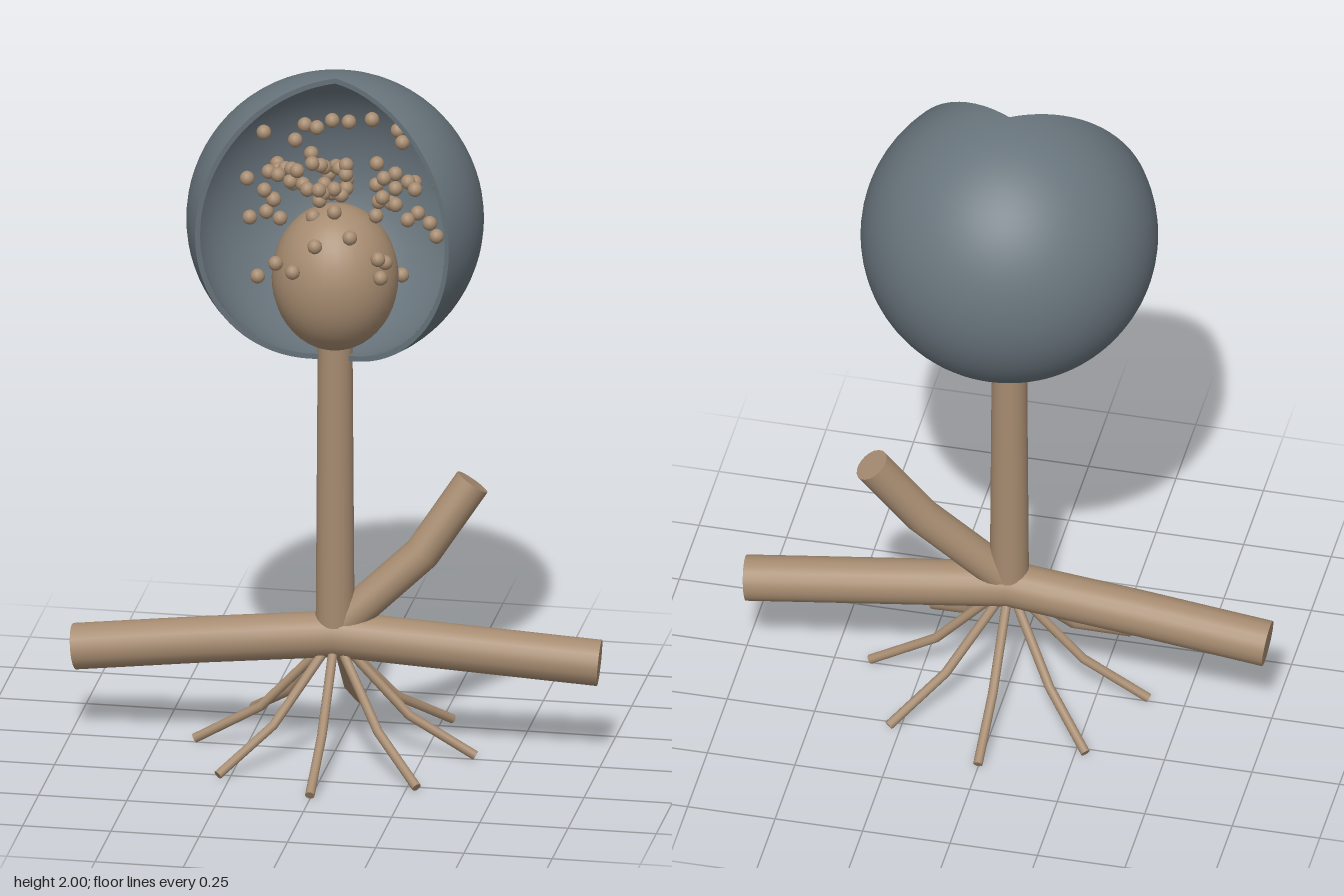
import * as THREE from 'three';

const V = (x, y, z) => new THREE.Vector3(x, y, z);

// Capped round limb following a short list of points
function limbGeometry(points, radius, sides) {
  const n = points.length - 1;
  const geo = new THREE.CylinderGeometry(radius, radius, 1, sides, n);
  const turns = points.map((p, i) => {
    const t = V(0, 0, 0);
    if (i > 0) t.add(p.clone().sub(points[i - 1]).normalize());
    if (i < n) t.add(points[i + 1].clone().sub(p).normalize());
    return new THREE.Quaternion().setFromUnitVectors(V(0, 1, 0), t.normalize());
  });
  const pos = geo.attributes.position;
  const normal = geo.attributes.normal;
  const v = V(0, 0, 0);
  for (let k = 0; k < pos.count; k++) {
    v.fromBufferAttribute(pos, k);
    const i = Math.round((v.y + 0.5) * n);
    v.setY(0).applyQuaternion(turns[i]).add(points[i]);
    pos.setXYZ(k, v.x, v.y, v.z);
    v.fromBufferAttribute(normal, k).applyQuaternion(turns[i]);
    normal.setXYZ(k, v.x, v.y, v.z);
  }
  return geo;
}

export function createModel() {
  const root = new THREE.Group();
  const tan = new THREE.MeshStandardMaterial({ color: 0xa68b70 });
  tan.name = 'tan';
  const slate = new THREE.MeshStandardMaterial({ color: 0x68747c, side: THREE.DoubleSide });
  slate.name = 'slate grey';

  const add = (parent, name, geo, mat, x = 0, y = 0, z = 0) => {
    const mesh = new THREE.Mesh(geo, mat);
    mesh.name = name;
    mesh.position.set(x, y, z);
    parent.add(mesh);
    return mesh;
  };
  const group = (name) => {
    const g = new THREE.Group();
    g.name = name;
    root.add(g);
    return g;
  };

  // Spore case: hollow sphere with a 120 degree wedge cut away at the front
  const sporeCase = group('sporeCase');
  sporeCase.position.y = 1.585;
  const outer = 0.415, inner = 0.4, deg = Math.PI / 180;
  for (const [name, r] of [['outerWall', outer], ['innerWall', inner]]) {
    add(sporeCase, name, new THREE.SphereGeometry(r, 48, 40, 150 * deg, 240 * deg), slate);
  }
  for (const angle of [-30, -150]) {
    add(sporeCase, 'cutRim', new THREE.RingGeometry(inner, outer, 48, 1, -90 * deg, 180 * deg), slate)
      .rotation.y = angle * deg;
  }

  // Inner dome and stalk
  add(root, 'innerDome', new THREE.SphereGeometry(0.177, 32, 24), tan, 0, 1.412, 0).scale.y = 1.19;
  add(root, 'stalk', new THREE.CylinderGeometry(0.049, 0.055, 0.87, 20), tan, 0, 0.785, 0);

  // Horizontal runner and rising branch
  add(root, 'runner', limbGeometry(
    [V(-0.738, 0.265, 0), V(-0.37, 0.31, 0), V(0, 0.35, 0), V(0.37, 0.32, -0.03), V(0.738, 0.29, -0.06)],
    0.065, 20), tan);
  add(root, 'branch', limbGeometry(
    [V(0, 0.365, 0), V(0.238, 0.588, -0.05), V(0.37, 0.787, -0.106)], 0.051, 20), tan);

  // Eight bent rootlets
  const roots = group('rootlets');
  const rootGeo = limbGeometry([V(0, 0.345, 0), V(0.21, 0.122, 0), V(0.398, 0.014, 0)], 0.0135, 10);
  for (let i = 0; i < 8; i++) {
    add(roots, 'rootlet', rootGeo, tan).rotation.y = i * Math.PI / 4;
  }

  // Spores: a few placed loosely, the rest in seeded clusters
  const spores = group('spores');
  const sporeGeo = new THREE.SphereGeometry(0.021, 12, 8);
  const spore = (x, y, z) => add(spores, 'spore', sporeGeo, tan, x, y, z);
  const loose = [
    [-0.22, 1.79, -0.1], [-0.03, 1.83, -0.12], [0.03, 1.855, -0.05], [0.09, 1.855, -0.08],
    [0.14, 1.8, 0.12], [0.16, 1.82, -0.1], [0.18, 1.8, -0.06], [0.17, 1.73, 0.2],
    [0.18, 1.65, -0.15], [0.28, 1.675, -0.08], [-0.26, 1.665, -0.06], [-0.26, 1.535, -0.1],
    [-0.22, 1.54, -0.14], [-0.2, 1.44, 0.11], [-0.14, 1.5, 0.16], [-0.09, 1.48, 0.17],
    [-0.02, 1.575, 0.21], [0.15, 1.46, 0.12], [0.16, 1.5, 0.1], [0.15, 1.53, 0.16],
    [0.18, 1.41, -0.05], [0.25, 1.55, -0.1], [0.28, 1.535, -0.04], [0.09, 1.63, 0.27],
    [-0.16, 1.74, 0.225], [-0.12, 1.65, 0.2], [0.03, 1.67, 0.18], [-0.01, 1.74, 0.2],
  ];
  for (const p of loose) spore(...p);
  let seed = 11;
  const rand = () => (seed = (seed * 16807) % 2147483647) / 2147483647;
  const cluster = (count, cx, cy, rx, ry, z0, z1) => {
    for (let i = 0; i < count; i++) {
      const a = rand() * 2 * Math.PI, r = Math.sqrt(rand());
      spore(cx + rx * r * Math.cos(a), cy + ry * r * Math.sin(a), z0 + (z1 - z0) * rand());
    }
  };
  cluster(34, -0.09, 1.69, 0.12, 0.095, -0.24, 0.15);
  cluster(12, 0.17, 1.62, 0.1, 0.07, -0.24, 0.08);

  return root;
}
